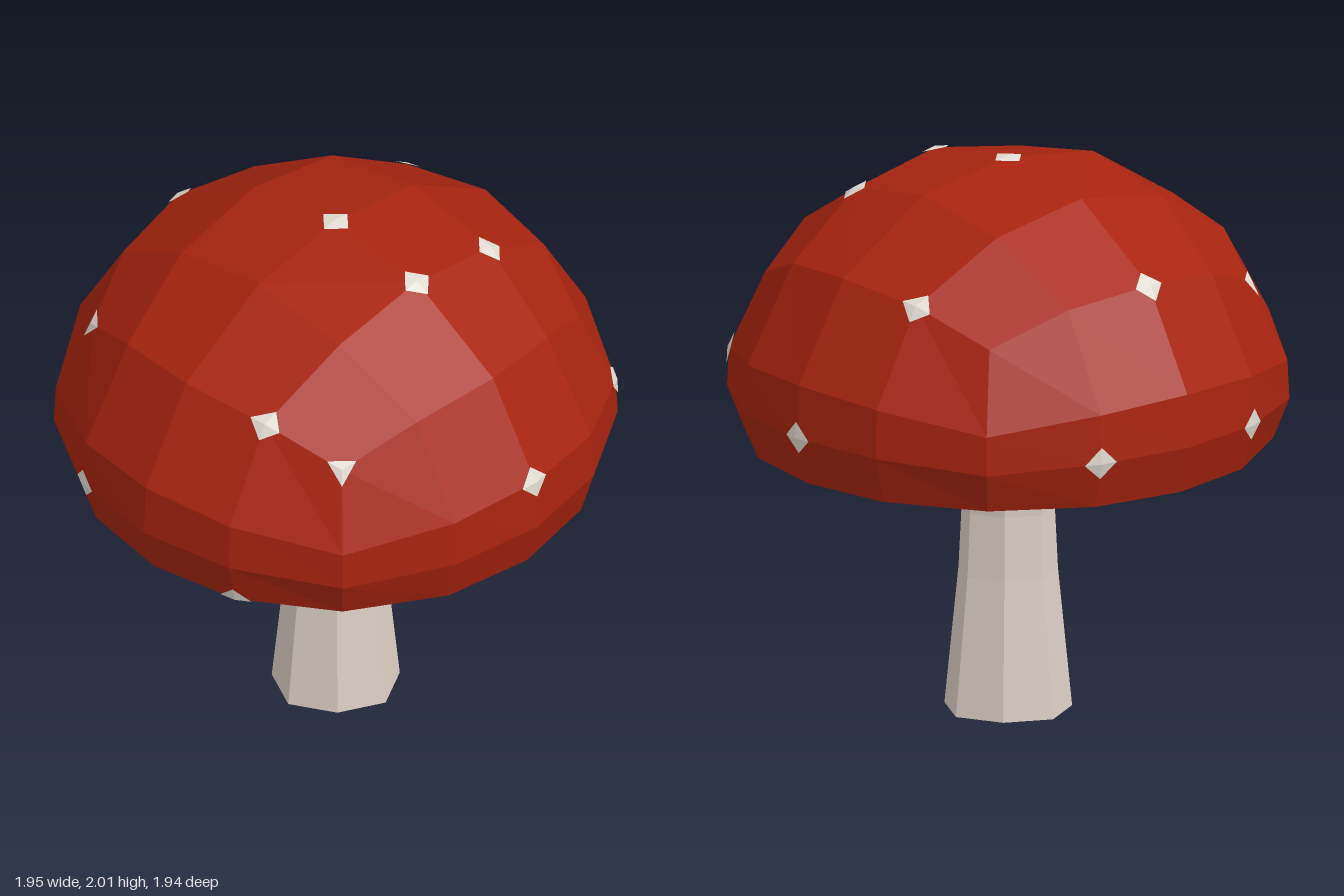
import * as THREE from 'three';

const mat = (name, color, side = THREE.FrontSide) => {
  const m = new THREE.MeshStandardMaterial({ color, side });
  m.name = name;
  return m;
};

// Faceted mesh from polygons, each a list of Vector3 corners
function facetMesh(name, polygons, material) {
  const pos = [];
  for (const p of polygons)
    for (let i = 1; i < p.length - 1; i++)
      for (const v of [p[0], p[i], p[i + 1]]) pos.push(v.x, v.y, v.z);
  const g = new THREE.BufferGeometry();
  g.setAttribute('position', new THREE.Float32BufferAttribute(pos, 3));
  g.computeVertexNormals();
  const mesh = new THREE.Mesh(g, material);
  mesh.name = name;
  return mesh;
}

// Repeat a quarter of [x, y, z] points four times around the y axis
function ring(quarter) {
  const out = [];
  for (let q = 0; q < 4; q++)
    for (const [x, y, z] of quarter) {
      let p = [x, z];
      for (let k = 0; k < q; k++) p = [-p[1], p[0]];
      out.push(new THREE.Vector3(p[0], y, p[1]));
    }
  return out;
}

// 16-point loop: axis point, in-between point, diagonal point
const loop16 = (r, y0, a, b, y1, c, y2) =>
  ring([[r, y0, 0], [a, y1, b], [c, y2, c], [b, y1, a]]);

export function createModel() {
  const model = new THREE.Group();
  model.name = 'mushroom';
  const red = mat('cap red', 0xa82410);
  const white = mat('spot white', 0xe2dcd2);
  const stemMat = mat('stem beige', 0xdccfc4);
  const gillMat = mat('gill yellow', 0xe0cf7e);
  const collarMat = mat('collar pink', 0xdabfbf);

  // Cap: rounded-cube dome from horizontal loops
  const baseY = 0.995;
  const A = loop16(0.92, baseY, 0.86, 0.335, baseY, 0.655, baseY);
  const B = loop16(0.972, 1.17, 0.908, 0.35, 1.165, 0.695, 1.14);
  const C = loop16(0.96, 1.36, 0.9, 0.345, 1.34, 0.69, 1.28);
  const D = loop16(0.757, 1.71, 0.705, 0.33, 1.675, 0.6, 1.56);
  const E = ring([[0.39, 1.94, 0], [0.38, 1.87, 0.38]]);
  const apex = new THREE.Vector3(0, 2, 0);

  const quads = [];
  for (const [lo, hi] of [[A, B], [B, C], [C, D]])
    for (let j = 0; j < 16; j++) {
      const k = (j + 1) % 16;
      quads.push([lo[j], hi[j], hi[k], lo[k]]);
    }
  for (let q = 0; q < 4; q++) {
    const d = (i) => D[(q * 4 + i) % 16];
    const e = (i) => E[(q * 2 + i) % 8];
    quads.push([d(0), e(0), e(1), d(1)], [d(1), e(1), d(3), d(2)],
      [d(3), e(1), e(2), d(4)], [e(0), apex, e(2), e(1)]);
  }
  model.add(facetMesh('cap', quads, red));

  // Underside: red lip around a flat gill disc
  const inner = A.map((v) => new THREE.Vector3(v.x * 0.914, baseY, v.z * 0.914));
  const lip = A.map((v, j) => {
    const k = (j + 1) % 16;
    return [v, A[k], inner[k], inner[j]];
  });
  model.add(facetMesh('capLip', lip, red));
  model.add(facetMesh('gills', [inner], gillMat));

  const collar = new THREE.Mesh(new THREE.CircleGeometry(0.228, 32), collarMat);
  collar.name = 'stemCollar';
  collar.rotation.x = Math.PI / 2;
  collar.position.y = baseY - 0.004;
  model.add(collar);

  // Spots: small patches wrapped over cap corners
  const spotted = [apex, E[2], E[1], D[12], D[15], D[10], D[7], D[6],
    C[2], C[4], B[0], B[13], B[11], B[9], A[7]];
  const spots = new THREE.Group();
  spots.name = 'spots';
  const centre = new THREE.Vector3(0, 1, 0);
  for (const v of spotted) {
    const lift = v.clone().sub(centre).setLength(0.006);
    const toward = (p) => p.clone().sub(v).setLength(0.06).add(v).add(lift);
    const patch = [];
    for (const quad of quads) {
      const i = quad.indexOf(v);
      if (i < 0) continue;
      patch.push([v.clone().add(lift), toward(quad[(i + 1) % 4]), toward(quad[(i + 3) % 4])]);
    }
    spots.add(facetMesh('spot', patch, white));
  }
  model.add(spots);

  // Stem: eight-sided, waisted, with slightly flattened diagonals
  const profile = [[0, 0], [0.24, 0], [0.187, 0.5], [0.175, 0.73], [0.19, 1.0]]
    .map(([r, y]) => new THREE.Vector2(r, y));
  const stemGeo = new THREE.LatheGeometry(profile, 8).toNonIndexed();
  const p = stemGeo.attributes.position;
  for (let i = 0; i < p.count; i++)
    if (Math.abs(p.getX(i)) > 0.01 && Math.abs(p.getZ(i)) > 0.01)
      p.setXYZ(i, p.getX(i) * 0.93, p.getY(i), p.getZ(i) * 0.93);
  stemGeo.computeVertexNormals();
  const stem = new THREE.Mesh(stemGeo, stemMat);
  stem.name = 'stem';
  model.add(stem);

  return model;
}
